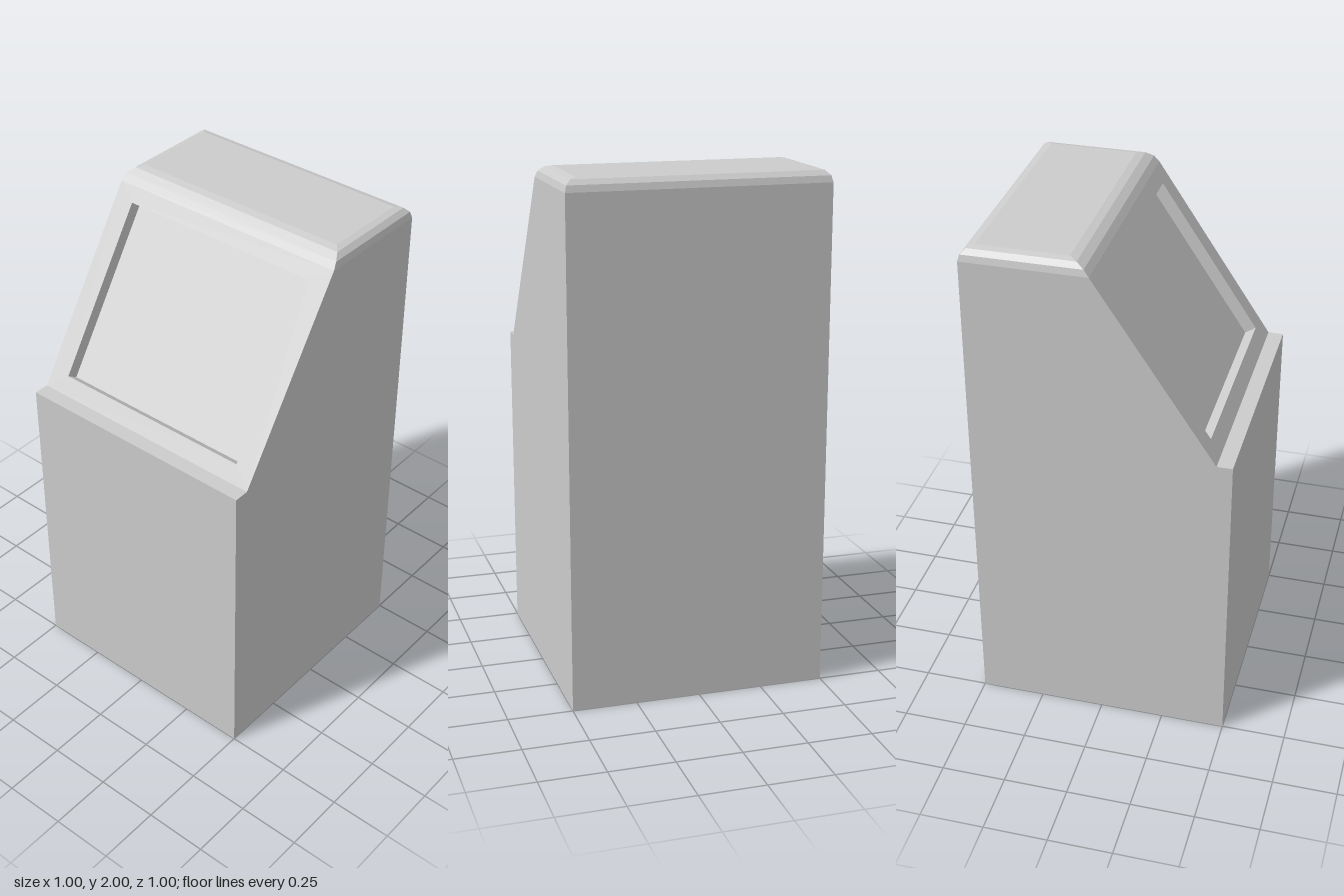
import * as THREE from 'three';

const W = 0.5; // half width of the cabinet

// Flat-shaded mesh from convex (or star-shaped about corner 0) polygons
function facets(name, polygons) {
  const positions = [];
  for (const p of polygons) {
    for (let i = 1; i < p.length - 1; i++) positions.push(...p[0], ...p[i], ...p[i + 1]);
  }
  const geometry = new THREE.BufferGeometry();
  geometry.setAttribute('position', new THREE.Float32BufferAttribute(positions, 3));
  geometry.computeVertexNormals();
  const material = new THREE.MeshStandardMaterial({ color: 0xcccccc, flatShading: true });
  const mesh = new THREE.Mesh(geometry, material);
  mesh.name = name;
  return mesh;
}

// Quads joining two closed loops with the same number of corners
const band = (a, b) => a.map((p, i) => {
  const j = (i + 1) % a.length;
  return [p, a[j], b[j], b[i]];
});

// Four corners from two [z, y] points: lower/front edge, then upper/back edge
const loop = (w, [z0, y0], [z1, y1]) => [[-w, y0, z0], [w, y0, z0], [w, y1, z1], [-w, y1, z1]];

export function createModel() {
  const group = new THREE.Group();
  group.name = 'kiosk';

  // Side profile as [z, y], starting at the foot of the sloping panel
  const slopeFoot = [0.44, 1.25], slopeTop = [-0.025, 1.95];
  const profile = [slopeFoot, [0.5, 1.25], [0.5, 0], [-0.5, 0], [-0.5, 1.95], slopeTop];

  // Cabinet: two side walls, ledge, front, bottom and back
  const side = (x) => profile.map(([z, y]) => [x, y, z]);
  const walls = [side(W), side(-W).reverse()];
  // keep the inner corner first in the mirrored side
  walls[1].unshift(walls[1].pop());
  for (let i = 0; i < 4; i++) {
    const [z0, y0] = profile[i], [z1, y1] = profile[i + 1];
    walls.push([[-W, y0, z0], [-W, y1, z1], [W, y1, z1], [W, y0, z0]]);
  }
  group.add(facets('cabinet', walls));

  // Crown: rounded upper edges in three steps, closed by a flat top
  const r = 0.05;
  const frontZ = [-0.025, -0.045, -0.075, -0.105];
  const levels = frontZ.map((z, i) => {
    const a = i * Math.PI / 6;
    const inset = r * (1 - Math.cos(a)), y = 1.95 + r * Math.sin(a);
    return loop(W - inset, [z, y], [-0.5 + inset, y]);
  });
  const crown = [levels[3]];
  for (let i = 0; i < 3; i++) crown.push(...band(levels[i], levels[i + 1]));
  group.add(facets('crown', crown));

  // Sloping bezel around the display opening
  const onSlope = (y) => {
    const t = (y - slopeFoot[1]) / (slopeTop[1] - slopeFoot[1]);
    return [THREE.MathUtils.lerp(slopeFoot[0], slopeTop[0], t), y];
  };
  const outer = loop(W, slopeFoot, slopeTop);
  const opening = loop(0.418, onSlope(1.31), onSlope(1.898));
  group.add(facets('bezel', band(outer, opening)));

  // Recess walls and sunken display, pushed in square to the slope
  const depth = 0.05;
  const dz = slopeTop[1] - slopeFoot[1], dy = slopeFoot[0] - slopeTop[0];
  const k = depth / Math.hypot(dz, dy);
  const sunken = opening.map(([x, y, z]) => [x, y - dy * k, z - dz * k]);
  group.add(facets('displayRecess', band(opening, sunken)));
  group.add(facets('display', [sunken]));

  return group;
}
